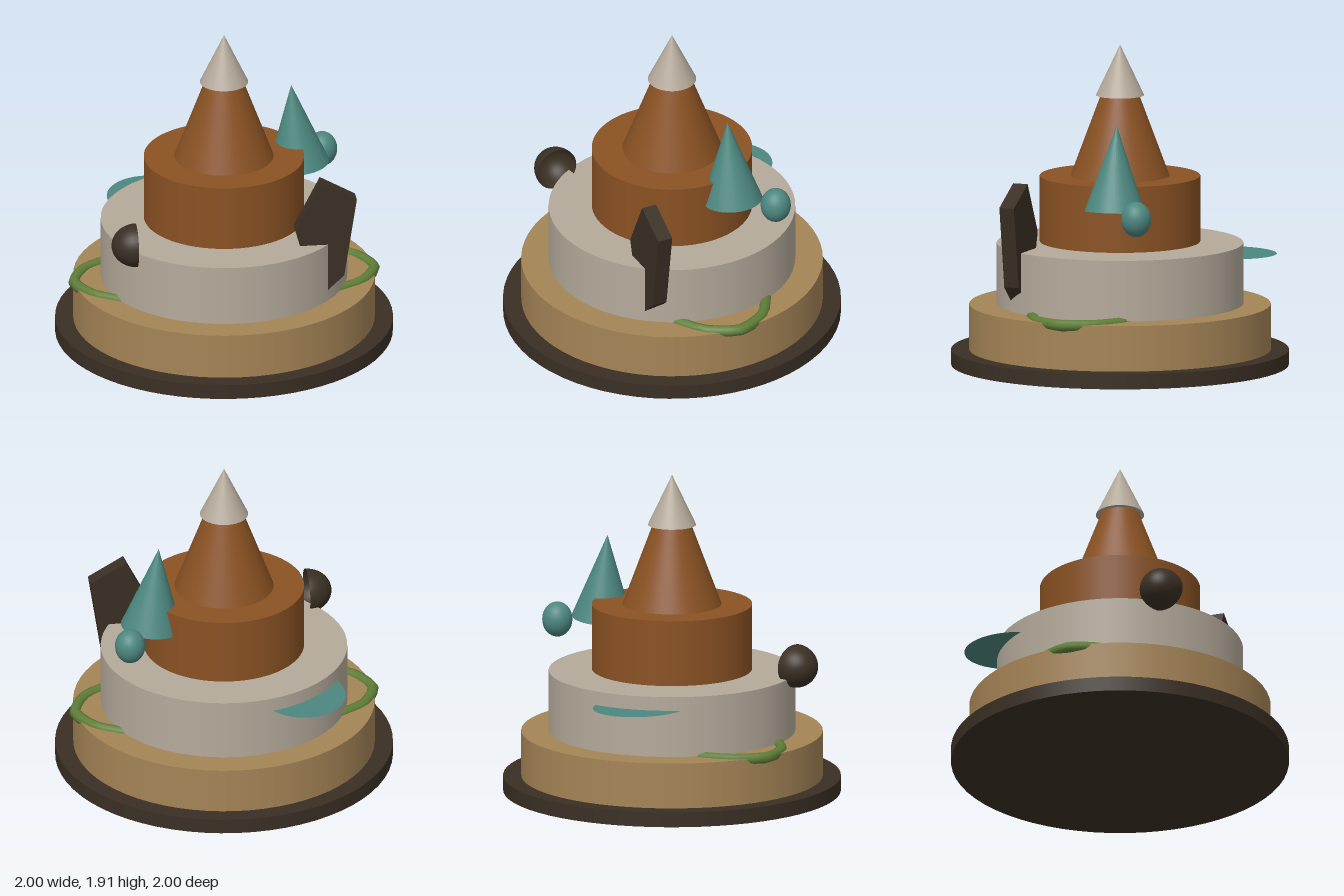
import * as THREE from 'three';

const mat = (name, color, side = THREE.FrontSide) => {
  const m = new THREE.MeshStandardMaterial({ color, side });
  m.name = name;
  return m;
};

export function createModel() {
  const root = new THREE.Group();
  root.name = 'tieredMountain';

  const dark = mat('darkBrown', 0x3a2f24, THREE.DoubleSide);
  const tan = mat('tan', 0xa58456);
  const grey = mat('warmGrey', 0xb5aa9b);
  const brown = mat('rust', 0x8a5223);
  const teal = mat('teal', 0x4d8780, THREE.DoubleSide);
  const green = mat('mossGreen', 0x5f7f38);

  const add = (name, geometry, material, x = 0, y = 0, z = 0) => {
    const mesh = new THREE.Mesh(geometry, material);
    mesh.name = name;
    mesh.position.set(x, y, z);
    root.add(mesh);
    return mesh;
  };

  // Stacked round tiers: name, bottom radius, top radius, bottom y, top y
  const tiers = [
    ['basePlate', 1, 1, 0, 0.09, dark],
    ['lowerTier', 0.893, 0.893, 0.09, 0.362, tan],
    ['middleTier', 0.73, 0.73, 0.365, 0.728, grey],
    ['upperTier', 0.475, 0.475, 0.737, 1.13, brown],
    ['peak', 0.293, 0.112, 1.13, 1.615, brown],
    ['snowCap', 0.143, 0, 1.61, 1.912, grey],
  ];
  for (const [name, rb, rt, y0, y1, m] of tiers) {
    add(name, new THREE.CylinderGeometry(rt, rb, y1 - y0, 64), m, 0, (y0 + y1) / 2, 0);
  }

  // Leaning cone tree, hung from its tip
  const tree = add('coneTree', new THREE.ConeGeometry(0.18, 0.51, 32).translate(0, -0.255, 0),
    teal, 0.42, 1.494, -0.155);
  tree.rotation.z = 0.092;
  tree.rotation.x = 0.012;

  // Small egg-shaped bush beside the tree
  add('bush', new THREE.SphereGeometry(1, 24, 16), teal, 0.63, 0.975, -0.368).scale.set(0.09, 0.105, 0.09);

  // Flat oval ledge at the back
  const ledge = add('ovalLedge', new THREE.CircleGeometry(1, 48).rotateX(-Math.PI / 2), teal, -0.375, 0.645, -0.533);
  ledge.scale.set(0.256, 1, 0.298);

  // Open half dome, hollow side towards +x
  const dome = new THREE.SphereGeometry(1, 32, 12, 0, Math.PI * 2, 0, Math.PI / 2).rotateZ(Math.PI / 2);
  add('halfDome', dome, dark, -0.58, 0.79, 0.47).scale.set(0.148, 0.13, 0.13);

  // Angular rock slab
  const outline = [[0.524, 1.128], [0.369, 0.823], [0.495, 0.37], [0.66, 0.524], [0.735, 1.01]];
  const slab = new THREE.Shape(outline.map(([x, y]) => new THREE.Vector2(x, y)));
  add('rockSlab', new THREE.ExtrudeGeometry(slab, { depth: 0.093, bevelEnabled: false }), dark, 0, 0, 0.373);

  // Vines looping out of the middle tier on both sides
  const half = [[0.58, 0.33], [0.69, 0.268], [0.8, 0.195], [0.865, 0.09]];
  for (const s of [-1, 1]) {
    const points = [
      ...half.map(([x, z]) => [x, -z]),
      [0.895, 0],
      ...half.slice().reverse(),
    ].map(([x, z]) => new THREE.Vector3(s * x, 0.355, z));
    const path = new THREE.CatmullRomCurve3(points);
    add(s > 0 ? 'leftVine' : 'rightVine', new THREE.TubeGeometry(path, 14, 0.034, 8), green);
  }

  return root;
}
